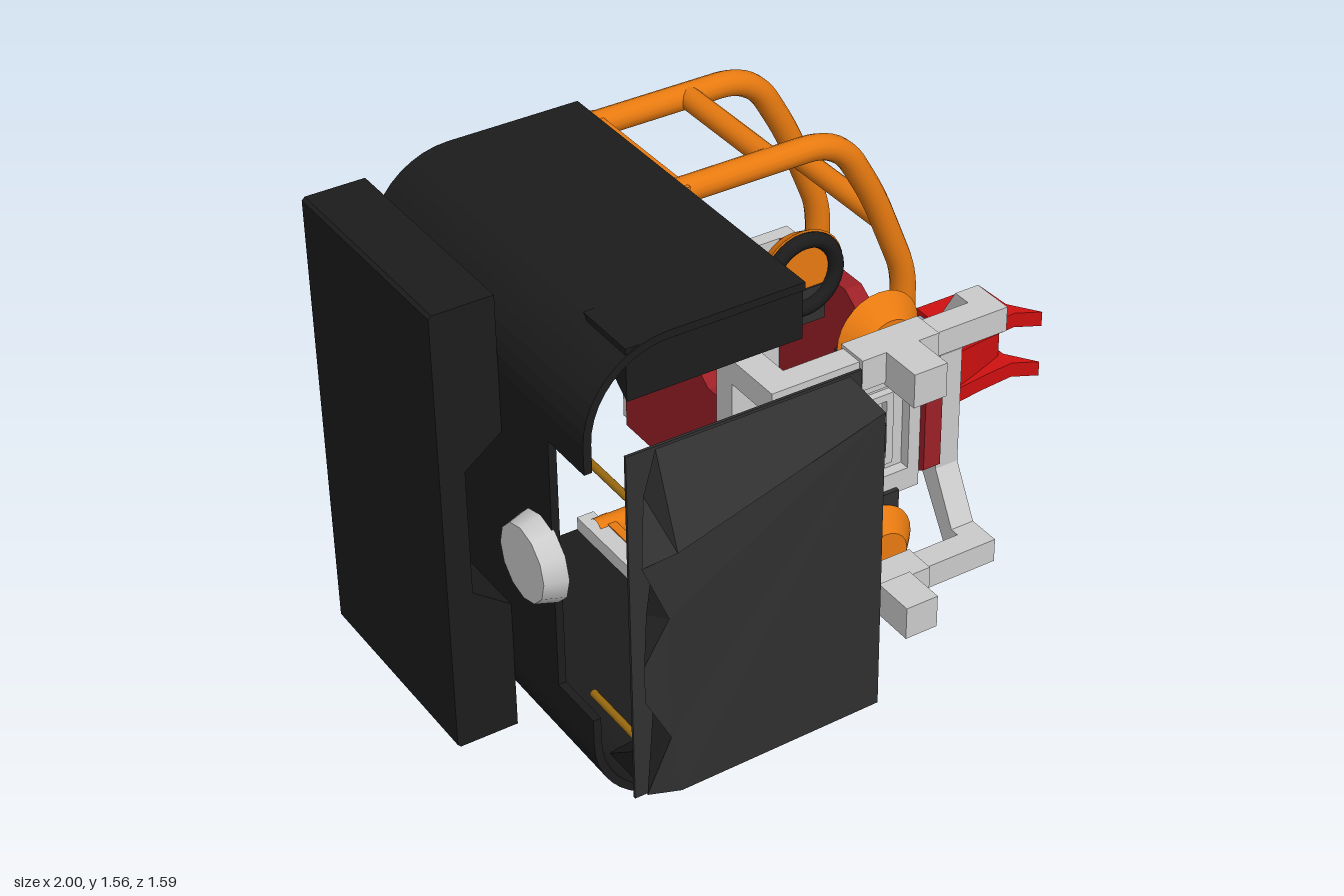
import * as THREE from 'three';

const CY = 0.78; // height of the mirror plane; profile heights "v" are measured from it
const mat = (color, flat = false) =>
  new THREE.MeshStandardMaterial({ color, flatShading: flat, side: THREE.DoubleSide });

export function createModel() {
  const root = new THREE.Group();
  const black = mat(0x1c1c1c), charcoal = mat(0x303030, true), grey = mat(0xcccccc);
  const orange = mat(0xe87a10), darkRed = mat(0x9c2026), red = mat(0xd01010);
  const blue = mat(0x8fa3bd), gold = mat(0x9a6a10);

  const add = (name, geo, material) => {
    const m = new THREE.Mesh(geo, material);
    m.name = name;
    root.add(m);
    return m;
  };
  // box from its limits
  const box = (name, material, x0, x1, y0, y1, z0, z1) =>
    add(name, new THREE.BoxGeometry(x1 - x0, y1 - y0, z1 - z0), material)
      .position.set((x0 + x1) / 2, (y0 + y1) / 2, (z0 + z1) / 2);
  // box centred at height v, on both sides of the mirror plane
  const boxPair = (name, material, x0, x1, v, h, z0, z1) => {
    for (const s of [1, -1]) box(name, material, x0, x1, CY + s * v - h / 2, CY + s * v + h / 2, z0, z1);
  };
  const extrude = (pts, depth, holes = []) => {
    const toV = (l) => l.map(([a, b]) => new THREE.Vector2(a, b));
    const shape = new THREE.Shape(toV(pts));
    holes.forEach((h) => shape.holes.push(new THREE.Path(toV(h))));
    return new THREE.ExtrudeGeometry(shape, { depth, bevelEnabled: false });
  };
  const alongZ = (pts, z0, z1, holes) => extrude(pts, z1 - z0, holes).translate(0, CY, z0); // [x, v]
  const alongX = (pts, x0, x1) =>                                                           // [z, v]
    extrude(pts.map(([z, v]) => [-z, v]), x1 - x0).rotateY(Math.PI / 2).translate(x0, CY, 0);
  const alongY = (pts, y0, y1) =>                                                           // [x, z]
    extrude(pts.map(([x, z]) => [x, -z]), y1 - y0).rotateX(-Math.PI / 2).translate(0, y0, 0);
  const mirrored = (half) => [...half, ...half.map(([a, v, ...r]) => [a, -v, ...r]).reverse()];
  const rect = (x0, x1, h) => [[x0, -h], [x1, -h], [x1, h], [x0, h]];
  const disc = (name, material, rBack, rFront, x, v, z0, z1, sides = 28) => {
    const g = new THREE.CylinderGeometry(rFront, rBack, z1 - z0, sides).rotateX(Math.PI / 2);
    const m = add(name, g, material);
    m.position.set(x, CY + v, (z0 + z1) / 2);
    return m;
  };

  // Thin C-shaped shell: rounded top and bottom, shorter side wall between
  const t = 0.025, R = 0.27;
  const corner = (off) => {
    const pts = [];
    for (let i = 0; i <= 10; i++) {
      const a = Math.PI / 2 * (1 + i / 10);
      pts.push([-0.53 + (R - off) * Math.cos(a), 0.51 + (R - off) * Math.sin(a)]);
    }
    return [[-0.1, 0.78 - off], ...pts, [-0.8 + off, 0.42]];
  };
  const rounded = [...corner(0), ...corner(t).reverse()];
  for (const s of [1, -1]) {
    const flip = (l) => l.map(([a, v]) => [a, s * v]);
    add('shellCorner', alongZ(flip(rounded), -0.8, 0.39), black);
    add('shellFrontGusset', alongX(flip([[0.385, 0.765], [0.17, 0.765], [0.385, 0.6]]), -0.66, -0.105), black);
  }
  box('shellWall', black, -0.8, -0.8 + t, CY - 0.42, CY + 0.42, -0.8, 0.2);

  // Side pack with a wide notch against the shell
  add('sidePack', alongZ(mirrored([[-0.8, 0.3], [-0.8, 0.745], [-0.99, 0.745], [-1, 0.735], [-1, 0.22],
    [-0.92, 0.21]].reverse().slice(0, 1).concat([[-0.8, 0.3], [-0.8, 0.745], [-0.99, 0.745], [-1, 0.735]])),
    -0.8, -0.06), black);

  // Round hub on the outer wall
  const hub = add('wallHub', new THREE.CylinderGeometry(0.12, 0.14, 0.07, 12).rotateZ(Math.PI / 2), grey);
  hub.position.set(-0.83, CY, 0.14);

  // Grey frame inside the shell
  boxPair('edgeTrim', grey, -0.16, -0.1, 0.735, 0.06, -0.795, 0.2);
  box('framePost', grey, -0.2, -0.11, 0.06, 1.5, 0.1, 0.18);
  boxPair('frameLink', grey, -0.2, -0.11, 0.41, 0.08, 0.15, 0.38);

  // Front shield, lofted from a back outline to a smaller slanted front outline
  const front = mirrored([[-0.035, 0.5, 0.68], [-0.76, 0.4, 0.79], [-0.86, 0.38, 0.775],
    [-0.79, 0.2, 0.79], [-0.86, 0.06, 0.775]]);
  const back = mirrored([[-0.09, 0.585, 0.59], [-0.7, 0.585, 0.59], [-0.74, 0.45, 0.59],
    [-0.72, 0.2, 0.59], [-0.74, 0.06, 0.59]]);
  const n = front.length, index = [];
  const capOf = (ring) => THREE.ShapeUtils.triangulateShape(ring.map(([x, v]) => new THREE.Vector2(x, v)), []);
  capOf(front).forEach(([a, b, c]) => index.push(a, b, c));
  capOf(back).forEach(([a, b, c]) => index.push(n + a, n + c, n + b));
  for (let i = 0; i < n; i++) {
    const j = (i + 1) % n;
    index.push(i, n + i, n + j, i, n + j, j);
  }
  let shield = new THREE.BufferGeometry();
  shield.setAttribute('position', new THREE.Float32BufferAttribute([...front, ...back].flat(), 3));
  shield.setIndex(index);
  shield = shield.toNonIndexed().translate(0, CY, 0);
  shield.computeVertexNormals();
  add('frontShield', shield, charcoal);
  box('shieldBackPlate', charcoal, -0.78, -0.04, CY - 0.58, CY + 0.58, 0.565, 0.574);
  for (const x of [-0.745, -0.075])
    for (const s of [1, -1]) disc('shieldRod', gold, 0.012, 0.012, x, s * 0.405, 0.3, 0.57, 10);

  // Orange tube cage: two rounded hoops and four cross bars
  const hoop = (z) => {
    const p = mirrored([[-0.13, 0.73], [0.46, 0.73], [0.59, 0.5], [0.71, 0.2]])
      .map(([x, v]) => new THREE.Vector3(x, CY + v, z));
    const bend = [0, 0.12, 0.08, 0.07, 0.07, 0.08, 0.12, 0];
    const path = new THREE.CurvePath();
    let from = p[0];
    for (let i = 1; i < p.length; i++) {
      const toward = (q) => p[i].clone().add(q.clone().sub(p[i]).setLength(bend[i]));
      const a = bend[i] ? toward(p[i - 1]) : p[i];
      path.add(new THREE.LineCurve3(from, a));
      if (!bend[i]) break;
      from = toward(p[i + 1]);
      path.add(new THREE.QuadraticBezierCurve3(a, p[i], from));
    }
    return new THREE.TubeGeometry(path, 120, 0.04, 14);
  };
  for (const z of [-0.27, -0.73]) add('cageHoop', hoop(z), orange);
  for (const s of [1, -1]) {
    disc('cageCrossBar', orange, 0.036, 0.036, 0.23, s * 0.73, -0.73, -0.27, 14);
    disc('cageCrossBar', orange, 0.036, 0.036, 0.635, s * 0.395, -0.73, -0.27, 14);
  }
  boxPair('cageMount', orange, -0.1, -0.07, 0.73, 0.06, -0.76, -0.23);

  // Front carrier: two arms joined by a bent upright
  boxPair('carrierArm', grey, -0.15, 0.6, 0.41, 0.08, 0.3, 0.38);
  add('carrierUpright', alongX([...mirrored([[0.38, 0.45], [0.24, 0.45], [0.1, 0.22]]),
    ...mirrored([[0.38, 0.37], [0.27, 0.37], [0.18, 0.2]]).reverse()], 0.52, 0.6), grey);
  boxPair('carrierSleeve', grey, 0.09, 0.35, 0.41, 0.1, 0.29, 0.395);
  boxPair('carrierPeg', grey, 0.17, 0.28, 0.405, 0.11, 0.39, 0.53);

  // Central body: waisted red side plates with a rear slot
  const plate = mirrored([[0.2, 0.17], [0.12, 0.22], [0.02, 0.16], [-0.1, 0.16], [-0.22, 0.24],
    [-0.57, 0.24], [-0.57, 0.08], [-0.48, 0.08]]);
  for (const x of [-0.1, 0.46]) add('bodySidePlate', alongX(plate, x, x + 0.06), darkRed);

  // Grey front panel with a stepped recess and a dark octagonal knob
  add('bodyFrontPanel', alongZ(rect(-0.04, 0.46, 0.235), 0.12, 0.175, [rect(0, 0.42, 0.16)]), grey);
  box('bodyFrontRecess', grey, 0, 0.42, CY - 0.16, CY + 0.16, 0.12, 0.14);
  add('bodyFrontRim', alongZ(rect(0.05, 0.37, 0.125), 0.14, 0.165, [rect(0.075, 0.345, 0.1)]), grey);
  const knob = disc('frontKnob', charcoal, 0.14, 0.12, 0.21, 0, 0.14, 0.2, 8);
  knob.rotation.z = Math.PI / 8;
  box('frontKnobCap', charcoal, 0.15, 0.27, CY - 0.07, CY + 0.07, 0.19, 0.22);

  // Rear panel, red nozzle ring and grey dish with vanes
  add('bodyRearPanel', alongZ(rect(-0.08, 0.52, 0.24), -0.62, -0.57), grey);
  const ring = [[0.165, 0], [0.235, 0], [0.235, 0.055], [0.205, 0.085], [0.18, 0.085], [0.165, 0.06], [0.165, 0]];
  const dish = [[0.0, 0.04], [0.05, 0.035], [0.06, 0.01], [0.13, 0.01], [0.167, 0.05]];
  const lathe = (name, pts, material) =>
    add(name, new THREE.LatheGeometry(pts.map(([r, h]) => new THREE.Vector2(r, h)), 36)
      .rotateX(-Math.PI / 2).translate(0.27, CY, -0.62), material);
  lathe('nozzleRing', ring, mat(0x9c2026, true));
  lathe('nozzleDish', dish, grey);
  for (let i = 0; i < 3; i++) {
    const vane = add('nozzleVane', new THREE.BoxGeometry(0.32, 0.02, 0.04), grey);
    vane.position.set(0.27, CY, -0.64);
    vane.rotation.z = i * Math.PI / 3;
  }

  // Four orange wheels above and below the body, on dark necks
  for (const s of [1, -1]) {
    disc('frontWheel', orange, 0.14, 0.08, 0.28, s * 0.375, 0.2, 0.265);
    disc('frontWheelBack', black, 0.12, 0.12, 0.28, s * 0.375, 0.18, 0.2);
    disc('rearWheel', orange, 0.115, 0.145, 0.28, s * 0.375, -0.235, -0.185);
    const tyre = add('rearWheelRim', new THREE.TorusGeometry(0.115, 0.025, 8, 32), black);
    tyre.position.set(0.28, CY + s * 0.375, -0.178);
  }
  boxPair('frontWheelNeck', charcoal, 0.18, 0.38, 0.27, 0.11, 0.13, 0.19);
  boxPair('rearWheelNeck', charcoal, 0.2, 0.36, 0.26, 0.12, -0.23, -0.18);

  // Side connector: blue-grey block and forked red head
  box('connectorBlock', blue, 0.52, 0.69, CY - 0.105, CY + 0.105, -0.15, 0.01);
  const head = [[0.69, -0.17], [0.925, -0.17], [0.93, -0.04], [0.995, 0.055], [0.92, 0.015], [0.8, 0.025], [0.69, 0.04]];
  for (const y of [0.67, 0.85]) add('connectorFork', alongY(head, y, y + 0.05), red);
  add('connectorHead', alongY([[0.69, -0.17], [0.925, -0.17], [0.91, -0.04], [0.8, 0], [0.69, 0.035]], 0.72, 0.85), red);

  return root;
}
